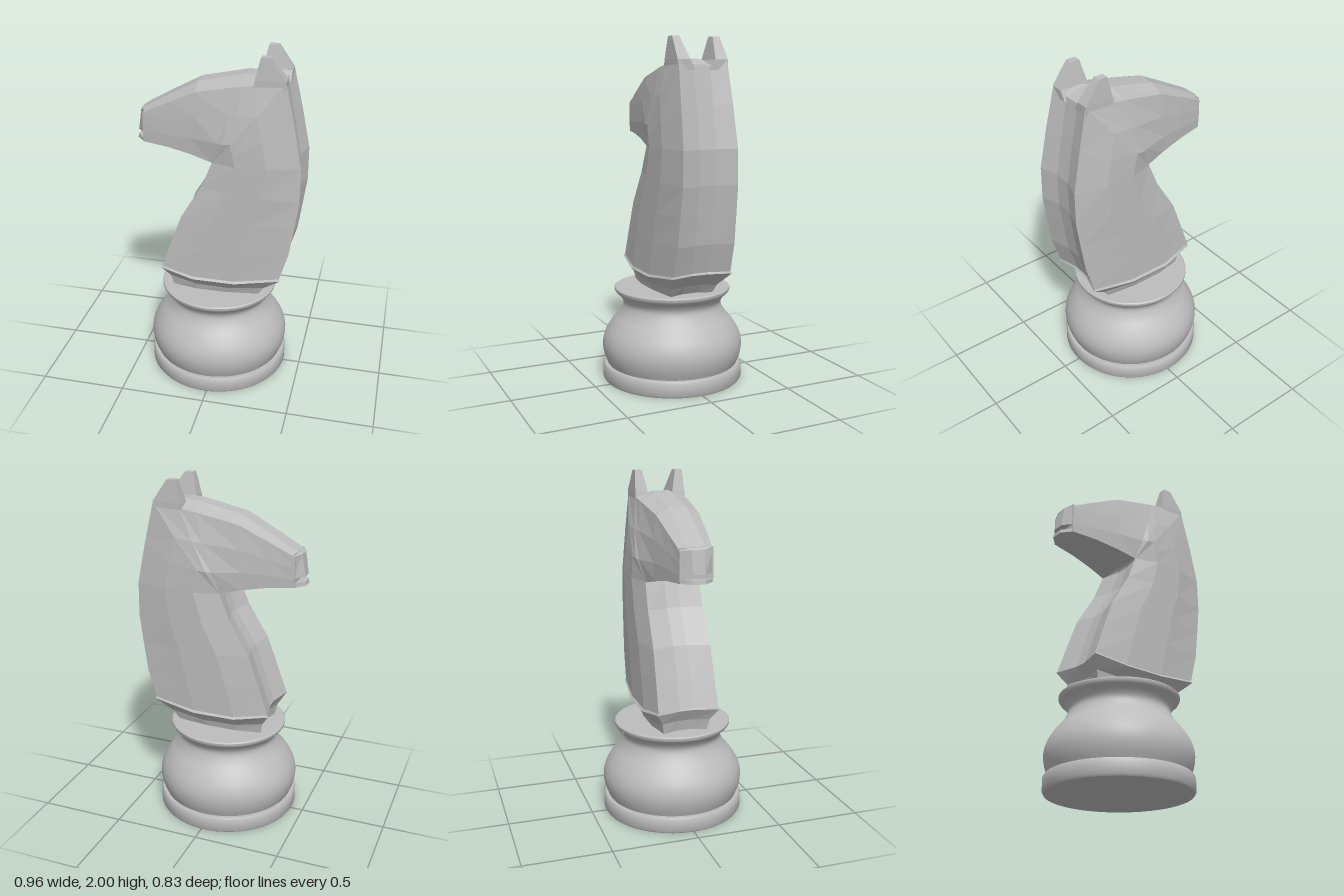
import * as THREE from 'three';
import { toCreasedNormals } from 'three/addons/utils/BufferGeometryUtils.js';

const grey = new THREE.MeshStandardMaterial({ color: 0xbcbcbc });
grey.name = 'grey';

function add(group, name, geometry) {
  const mesh = new THREE.Mesh(geometry, grey);
  mesh.name = name;
  group.add(mesh);
  return mesh;
}

// Joins closed loops of [x, y, z] points into a faceted, capped solid.
function loft(loops) {
  const n = loops[0].length, pos = [];
  const tri = (...pts) => pts.forEach((p) => pos.push(...p));
  for (let r = 0; r < loops.length - 1; r++) {
    const a = loops[r], b = loops[r + 1];
    for (let i = 0; i < n; i++) {
      const j = (i + 1) % n;
      tri(a[i], a[j], b[j]);
      tri(a[i], b[j], b[i]);
    }
  }
  const centre = (l) => [0, 1, 2].map((k) => l.reduce((s, p) => s + p[k], 0) / n);
  const first = loops[0], last = loops[loops.length - 1];
  for (let i = 0; i < n; i++) {
    const j = (i + 1) % n;
    tri(centre(first), first[j], first[i]);
    tri(centre(last), last[i], last[j]);
  }
  const g = new THREE.BufferGeometry();
  g.setAttribute('position', new THREE.Float32BufferAttribute(pos, 3));
  g.computeVertexNormals();
  return g;
}

// One cross-section between a front point f and a back point b.
// w: half widths front to back; cf, cb: how far the centre strips stand out; dip: drop of the sides.
function section([f, b, w, cf, cb, dip = 0]) {
  const len = Math.hypot(b[0] - f[0], b[1] - f[1]);
  const at = (t, z, drop = 0) => [f[0] + (b[0] - f[0]) * t, f[1] + (b[1] - f[1]) * t - drop, z];
  const half = [at(0, w[0]), at(0.28, w[1], dip), at(0.63, w[2], dip), at(1, w[3])];
  half.unshift(at(-cf / len, 0.04));
  half.push(at(1 + cb / len, 0.05));
  return [...half, ...half.map(([x, y, z]) => [x, y, -z]).reverse()];
}

function lathe(points) {
  const g = new THREE.LatheGeometry(points.map(([r, y]) => new THREE.Vector2(r, y)), 64);
  return toCreasedNormals(g, 0.6);
}

export function createModel() {
  const model = new THREE.Group();
  model.name = 'chessKnight';

  // Turned base
  const base = new THREE.Group();
  base.name = 'base';
  base.position.x = -0.015;
  model.add(base);
  add(base, 'foot', lathe([[0, 0], [0.408, 0], [0.416, 0.012], [0.416, 0.084], [0.408, 0.096], [0, 0.096]]));
  const bulge = new THREE.SplineCurve([
    [0.385, 0.09], [0.408, 0.15], [0.416, 0.215], [0.4, 0.28], [0.36, 0.345],
    [0.315, 0.4], [0.29, 0.455], [0.305, 0.495], [0.335, 0.525],
  ].map((p) => new THREE.Vector2(...p))).getPoints(32).map((p) => [p.x, p.y]);
  add(base, 'bulb', lathe([...bulge, [0.343, 0.538], [0.343, 0.55], [0.336, 0.556], [0, 0.556]]));

  // Collar, neck and head in one faceted body
  const throat = [-0.02, 1.39];
  const body = [
    [[-0.265, 0.55], [0.247, 0.55], [0.13, 0.155, 0.155, 0.13], -0.03, -0.03],
    [[-0.28, 0.62], [0.29, 0.61], [0.142, 0.168, 0.168, 0.142], -0.03, -0.03, 0.02],
    [[-0.325, 0.69], [0.385, 0.69], [0.184, 0.217, 0.217, 0.184], -0.035, -0.035, 0.035],
    [[-0.32, 0.702], [0.38, 0.702], [0.178, 0.207, 0.207, 0.178], -0.035, -0.035, 0.035],
    [[-0.265, 0.86], [0.43, 0.87], [0.174, 0.207, 0.207, 0.174], -0.035, -0.035],
    [[-0.2, 1.04], [0.455, 1.04], [0.17, 0.206, 0.206, 0.17], -0.035, -0.035],
    [[-0.08, 1.24], [0.477, 1.2], [0.165, 0.205, 0.205, 0.166], -0.035, -0.035],
    [throat, [0.477, 1.4], [0.16, 0.204, 0.204, 0.163], -0.03, -0.033],
    [throat, [0.43, 1.64], [0.16, 0.204, 0.198, 0.155], -0.03, -0.03],
    [throat, [0.378, 1.87], [0.16, 0.203, 0.187, 0.145], -0.03, -0.03],
    [throat, [0.22, 1.85], [0.16, 0.198, 0.182, 0.148], -0.03, 0.035],
    [[-0.025, 1.392], [0.13, 1.835], [0.158, 0.185, 0.172, 0.145], -0.02, 0.045],
    [[-0.14, 1.42], [-0.12, 1.78], [0.14, 0.147, 0.142, 0.126], 0, 0.04],
    [[-0.28, 1.443], [-0.28, 1.702], [0.118, 0.122, 0.118, 0.11], 0, 0.03],
    [[-0.432, 1.453], [-0.432, 1.625], [0.093, 0.095, 0.095, 0.093], 0, 0.02],
  ];
  add(model, 'neckAndHead', loft(body.map(section)));

  // Lips, with the mouth as the gap between them
  const lip = (y, x0, x1) => [[x0, y, -0.095], [x1, y, -0.035], [x1, y, 0.035], [x0, y, 0.095]];
  add(model, 'lowerLip', loft([lip(1.453, -0.425, -0.48), lip(1.475, -0.425, -0.476)]));
  add(model, 'upperLip', loft([lip(1.505, -0.425, -0.474), lip(1.63, -0.425, -0.455), lip(1.643, -0.425, -0.438)]));

  // Ears
  const ring = (y, xf, xb, zi, zo) => [[xf, y, zi], [xf, y, zo], [xb, y, zo], [xb, y, zi]];
  const earLoops = [ring(1.82, 0.2, 0.375, 0.045, 0.15), ring(1.875, 0.21, 0.377, 0.075, 0.15), ring(2, 0.24, 0.292, 0.1, 0.143)];
  add(model, 'leftEar', loft(earLoops));
  add(model, 'rightEar', loft(earLoops.map((l) => l.map(([x, y, z]) => [x, y, -z]).reverse())));

  return model;
}
